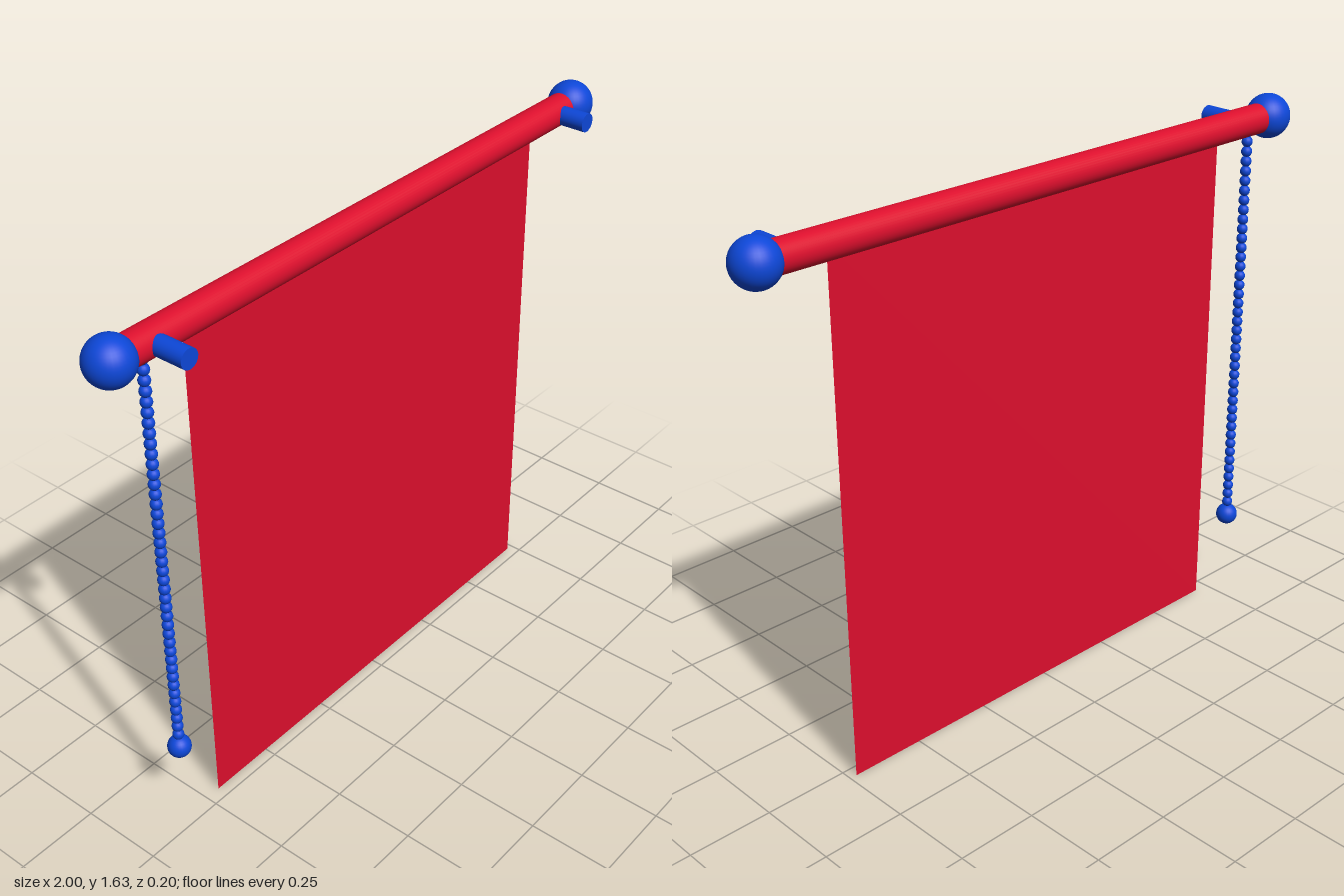
import * as THREE from 'three';

const RED = new THREE.MeshStandardMaterial({ color: 0xdc0f2d });
const BLUE = new THREE.MeshStandardMaterial({ color: 0x0d47d8 });
const CLOTH = new THREE.MeshStandardMaterial({ color: 0xdc0f2d, side: THREE.DoubleSide });

const ROD_Y = 1.56;
const ROD_Z = -0.035;

export function createModel() {
  const model = new THREE.Group();
  model.name = 'rollerBlind';

  const add = (parent, name, geometry, material, x, y, z) => {
    const mesh = new THREE.Mesh(geometry, material);
    mesh.name = name;
    mesh.position.set(x, y, z);
    parent.add(mesh);
    return mesh;
  };

  // Roller tube along x
  const rod = new THREE.CylinderGeometry(0.045, 0.045, 1.86, 40).rotateZ(Math.PI / 2);
  add(model, 'rollerRod', rod, RED, 0, ROD_Y, ROD_Z);

  // Ball finials closing both ends
  const ball = new THREE.SphereGeometry(0.067, 32, 24);
  add(model, 'rightFinial', ball, BLUE, -0.933, ROD_Y, ROD_Z);
  add(model, 'leftFinial', ball, BLUE, 0.933, ROD_Y, ROD_Z);

  // Mounting pegs from the rod towards the front
  const addPeg = (name, x, tipZ) => {
    const length = tipZ - ROD_Z;
    const peg = new THREE.CylinderGeometry(0.028, 0.028, length, 24).rotateX(Math.PI / 2);
    add(model, name, peg, BLUE, x, ROD_Y, ROD_Z + length / 2);
  };
  addPeg('rightPeg', -0.813, 0.1);
  addPeg('leftPeg', 0.842, 0.085);

  // Thin hanging cloth
  const cloth = new THREE.PlaneGeometry(1.432, ROD_Y);
  add(model, 'clothPanel', cloth, CLOTH, 0.013, ROD_Y / 2, ROD_Z);

  // Beaded pull chain with a larger end bead
  const chain = new THREE.Group();
  chain.name = 'pullChain';
  chain.position.set(-0.82, 0, -0.052);
  model.add(chain);
  const bead = new THREE.SphereGeometry(0.0165, 16, 12);
  for (let i = 0; i < 42; i++) {
    add(chain, 'chainBead', bead, BLUE, 0, 0.298 + i * 0.0302, 0);
  }
  add(chain, 'endBead', new THREE.SphereGeometry(0.034, 24, 16), BLUE, 0, 0.253, 0);

  return model;
}
